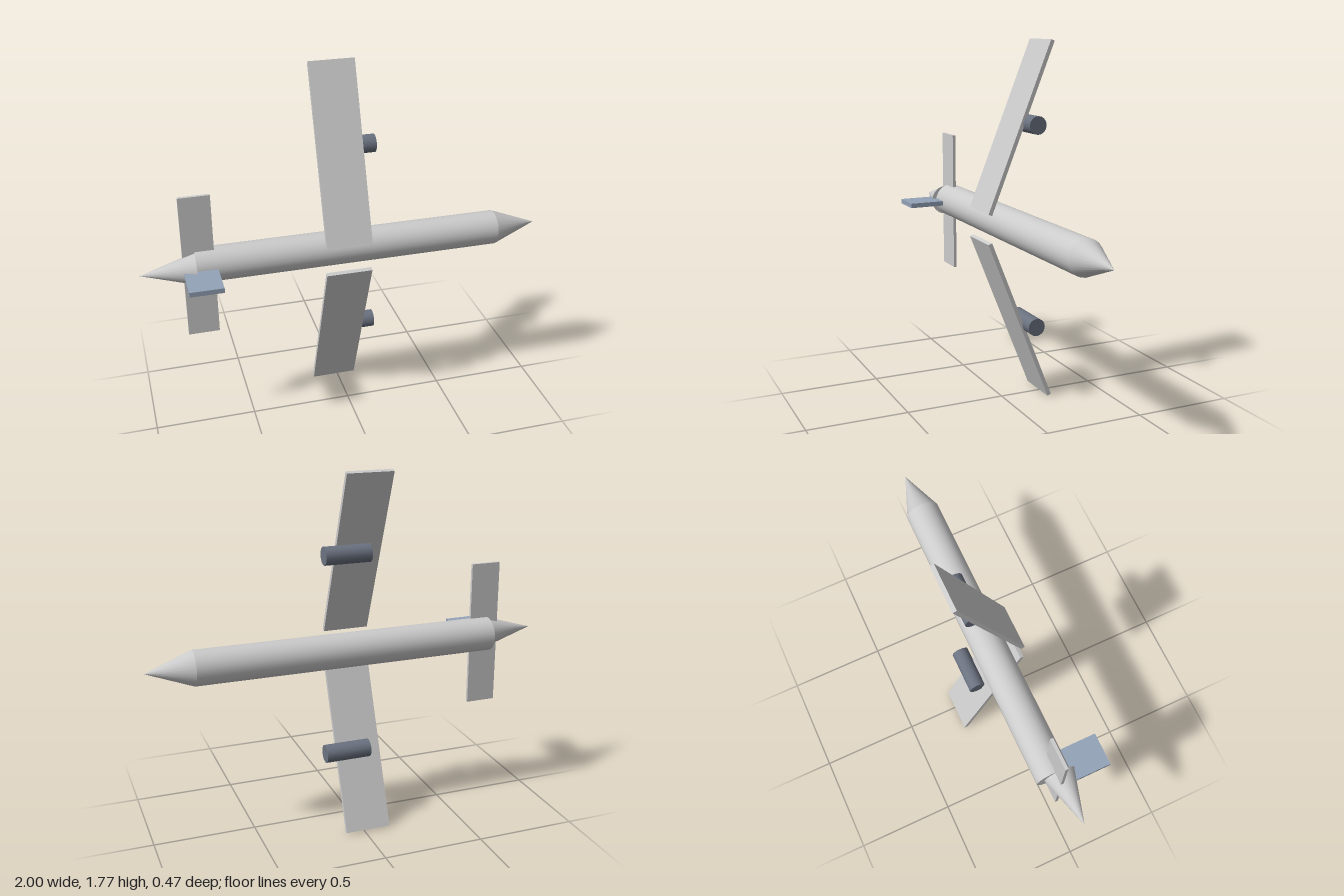
import * as THREE from 'three';

const MID = 0.887; // height of the fuselage axis

export function createModel() {
  const group = new THREE.Group();
  const grey = new THREE.MeshStandardMaterial({ color: 0xcccccc });
  const blue = new THREE.MeshStandardMaterial({ color: 0x94a3b8 });
  const slate = new THREE.MeshStandardMaterial({ color: 0x6b7280 });

  const add = (name, geometry, material, x, y, z) => {
    const mesh = new THREE.Mesh(geometry, material);
    mesh.name = name;
    mesh.position.set(x, y, z);
    group.add(mesh);
    return mesh;
  };

  // Round part along x from x0 to x1
  const round = (name, material, x0, x1, r0, r1, y, z, sides) => {
    const geometry = new THREE.CylinderGeometry(r1, r0, x1 - x0, sides);
    geometry.rotateZ(-Math.PI / 2);
    return add(name, geometry, material, (x0 + x1) / 2, y, z);
  };

  // Body with a pointed nose, and a slightly offset tail cone
  round('fuselage', grey, -0.74, 0.77, 0.085, 0.085, MID, -0.031, 24);
  round('noseCone', grey, 0.77, 0.995, 0.085, 0, MID, -0.031, 24);
  round('tailCone', grey, -1, -0.74, 0, 0.077, MID, 0, 24);

  // Swept-up wing panels, each with an engine behind it
  for (const side of [1, -1]) {
    const label = side > 0 ? 'upper' : 'lower';
    const wing = add(label + 'Wing', new THREE.BoxGeometry(0.225, 0.875, 0.02), grey,
      -0.019, MID + side * 0.476, -0.06);
    wing.rotation.x = -side * 0.38;
    round(label + 'Engine', slate, -0.062, 0.163, 0.044, 0.044, MID + side * 0.492, -0.113, 16);
  }

  // Tail surfaces
  add('tailplane', new THREE.BoxGeometry(0.15, 0.73, 0.015), grey, -0.722, MID, -0.018);
  add('tailFin', new THREE.BoxGeometry(0.16, 0.024, 0.235), blue, -0.72, MID, 0.117);

  return group;
}
